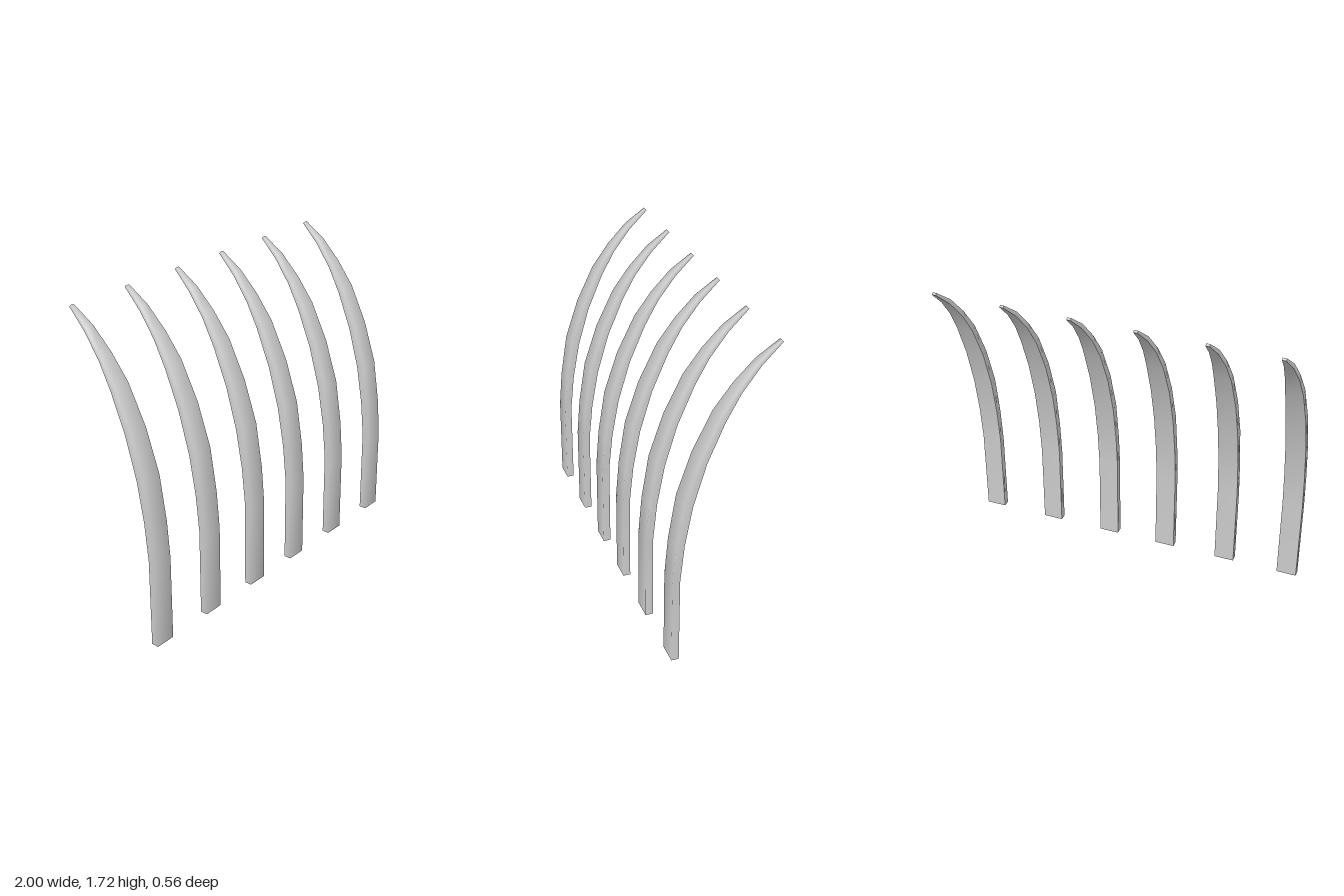
import * as THREE from 'three';
import { mergeGeometries } from 'three/addons/utils/BufferGeometryUtils.js';

// Cross-sections from foot to tip: half width, front [z, y], back [z, y]
const SECTIONS = [
  [0.0575, [0.283, 0], [0.242, 0]],
  [0.0575, [0.28, 0.48], [0.239, 0.495]],
  [0.0572, [0.262, 0.69], [0.217, 0.705]],
  [0.0565, [0.222, 0.938], [0.176, 0.925]],
  [0.054, [0.144, 1.17], [0.107, 1.152]],
  [0.048, [0.043, 1.38], [0.016, 1.355]],
  [0.038, [-0.052, 1.515], [-0.066, 1.49]],
  [0.025, [-0.157, 1.633], [-0.168, 1.61]],
  [0.011, [-0.272, 1.72], [-0.281, 1.71]],
];

// Corner of a section: side is -1 or 1, edge is 1 (front) or 2 (back)
const corner = (s, side, edge) => [side * s[0], s[edge][1], s[edge][0]];

// Smooth surface through rows of points (left to right, bottom to top)
function surface(rows) {
  const n = rows[0].length;
  const index = [];
  for (let i = 0; i < rows.length - 1; i++) {
    for (let j = 0; j < n - 1; j++) {
      const a = i * n + j;
      index.push(a, a + 1, a + n + 1, a, a + n + 1, a + n);
    }
  }
  const geometry = new THREE.BufferGeometry();
  geometry.setAttribute('position', new THREE.Float32BufferAttribute(rows.flat(2), 3));
  geometry.setIndex(index);
  geometry.computeVertexNormals();
  return geometry;
}

function fingerGeometry() {
  const foot = SECTIONS[0];
  const tip = SECTIONS[SECTIONS.length - 1];
  const row = (s, list) => list.map(([side, edge]) => corner(s, side, edge));
  const front = [[-1, 1], [1, 1]];
  const back = [[-1, 2], [1, 2]];
  return mergeGeometries([
    // softly shaded front and sides
    surface(SECTIONS.map((s) => row(s, [[-1, 2], [-1, 1], [1, 1], [1, 2]]))),
    // back face with crisp edges
    surface(SECTIONS.map((s) => row(s, [[1, 2], [-1, 2]]))),
    // end caps
    surface([row(tip, front), row(tip, back)]),
    surface([row(foot, back), row(foot, front)]),
  ]);
}

export function createModel() {
  const model = new THREE.Group();
  model.name = 'curvedFingers';
  const geometry = fingerGeometry();
  const material = new THREE.MeshStandardMaterial({ color: 0xcccccc });

  // Row of six identical curved fingers
  [-0.942, -0.56, -0.185, 0.175, 0.55, 0.942].forEach((x, i) => {
    const finger = new THREE.Mesh(geometry, material);
    finger.name = `finger${i + 1}`;
    finger.position.x = x;
    model.add(finger);
  });
  return model;
}
